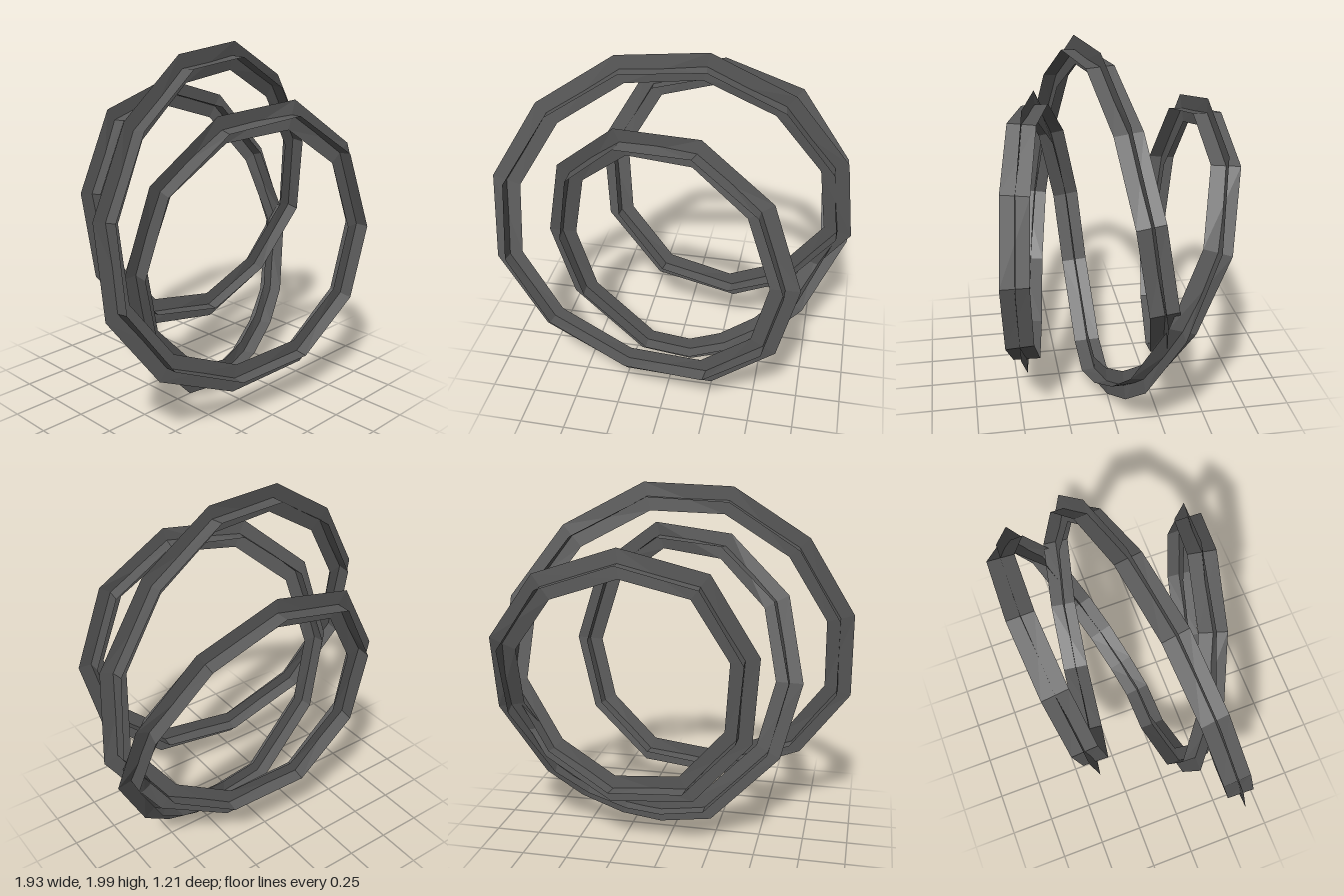
import * as THREE from 'three';

const RADIUS = 0.075;

// Centre line of the closed triple coil, x y z
const PATH = [
  // front inner loop
  [0.09, 0.085, 0.05], [-0.17, 0.12, 0.055], [-0.53, 0.49, 0.08], [-0.635, 0.9, 0.115],
  [-0.54, 1.34, 0.205], [-0.23, 1.62, 0.325], [0.18, 1.655, 0.43], [0.51, 1.41, 0.5],
  [0.655, 0.98, 0.53], [0.56, 0.58, 0.51], [0.25, 0.3, 0.455],
  // large middle loop
  [-0.2, 0.27, 0.4], [-0.64, 0.465, 0.345], [-0.895, 0.82, 0.285], [-0.895, 1.26, 0.215],
  [-0.66, 1.655, 0.155], [-0.28, 1.905, 0.095], [0.155, 1.925, 0.025], [0.56, 1.71, -0.045],
  [0.835, 1.345, -0.105], [0.885, 0.9, -0.17], [0.64, 0.54, -0.235],
  // back inner loop and return
  [0.285, 0.35, -0.29], [-0.14, 0.41, -0.345], [-0.425, 0.745, -0.395], [-0.46, 1.18, -0.45],
  [-0.24, 1.555, -0.505], [0.17, 1.66, -0.535], [0.575, 1.525, -0.525], [0.835, 1.19, -0.43],
  [0.87, 0.79, -0.265], [0.67, 0.39, -0.12], [0.5, 0.24, -0.05], [0.29, 0.13, 0.01],
].map((p) => new THREE.Vector3(...p));

// Half-width vector of the ribbon standing in the loop's plane and of the one lying across it
function frameAt(i) {
  const n = PATH.length;
  const before = PATH[i].clone().sub(PATH[(i + n - 1) % n]).normalize();
  const after = PATH[(i + 1) % n].clone().sub(PATH[i]).normalize();
  const t = before.add(after).normalize();
  const across = new THREE.Vector3(0, 0, 1).addScaledVector(t, -t.z).normalize();
  const radial = across.clone().cross(t);
  return {
    radial: radial.multiplyScalar(RADIUS / t.dot(after)),
    across: across.multiplyScalar(RADIUS),
  };
}

// Flat closed ribbon along the path, spread in the given frame direction
function ribbon(direction) {
  const positions = [];
  const index = [];
  PATH.forEach((p, i) => {
    const half = frameAt(i)[direction];
    positions.push(...p.clone().add(half).toArray(), ...p.clone().sub(half).toArray());
    const a = i * 2;
    const b = ((i + 1) % PATH.length) * 2;
    index.push(a, a + 1, b, a + 1, b + 1, b);
  });
  const geometry = new THREE.BufferGeometry();
  geometry.setAttribute('position', new THREE.Float32BufferAttribute(positions, 3));
  geometry.setIndex(index);
  geometry.computeVertexNormals();
  return geometry;
}

export function createModel() {
  const group = new THREE.Group();
  group.name = 'coiledRing';
  const material = new THREE.MeshStandardMaterial({
    color: 0x5a5a5a, flatShading: true, side: THREE.DoubleSide,
  });

  // Two ribbons crossing along the centre line
  const fin = new THREE.Mesh(ribbon('radial'), material);
  fin.name = 'radialRibbon';
  const band = new THREE.Mesh(ribbon('across'), material);
  band.name = 'crossRibbon';
  group.add(fin, band);
  return group;
}
